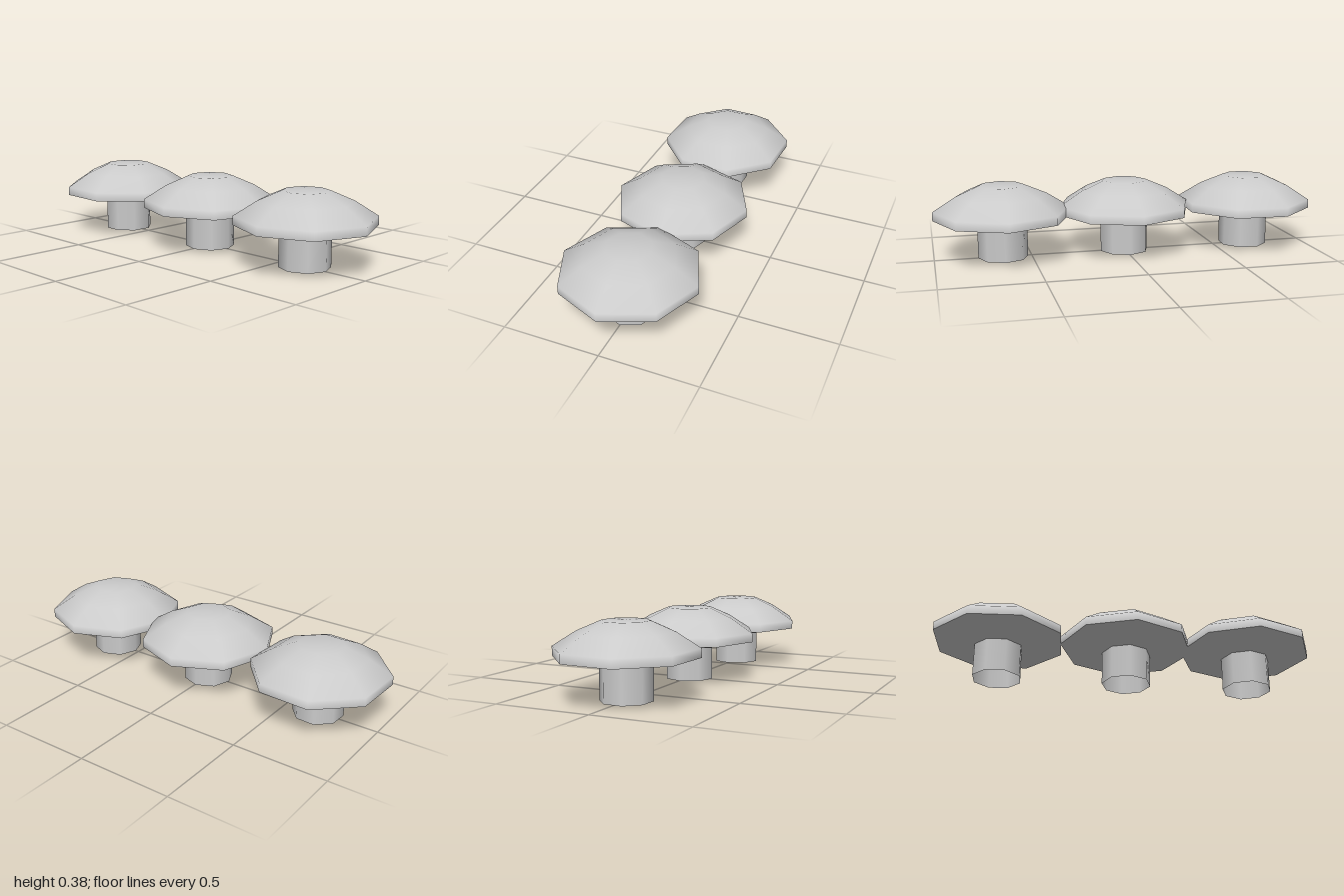
import * as THREE from 'three';

const SIDES = 8;
const material = new THREE.MeshStandardMaterial({ color: 0xcccccc, side: THREE.DoubleSide });

// Eight-sided turned surface from [radius, height] pairs
function turned(name, profile) {
  const points = profile.map(([r, y]) => new THREE.Vector2(r, y));
  const mesh = new THREE.Mesh(new THREE.LatheGeometry(points, SIDES), material);
  mesh.name = name;
  return mesh;
}

function createMushroom() {
  const mushroom = new THREE.Group();
  mushroom.add(
    // Hollow stem, open at the foot
    turned('stem', [[0.129, 0], [0.129, 0.174]]),
    // Shallow cone below the cap, with a hard edge at the rim
    turned('capUnderside', [[0, 0.174], [0.129, 0.174], [0.352, 0.208]]),
    // Rim band and rounded dome with a flat crown
    turned('cap', [[0.352, 0.208], [0.352, 0.253], [0.235, 0.327], [0.117, 0.378], [0, 0.378]])
  );
  return mushroom;
}

export function createModel() {
  const model = new THREE.Group();
  model.name = 'mushroomRow';

  // Position along x and turn in degrees
  const placements = [
    ['leftMushroom', 0.648, 0],
    ['middleMushroom', 0.002, 3.2],
    ['rightMushroom', -0.672, 19.7],
  ];
  for (const [name, x, turn] of placements) {
    const mushroom = createMushroom();
    mushroom.name = name;
    mushroom.position.x = x;
    mushroom.rotation.y = THREE.MathUtils.degToRad(turn);
    model.add(mushroom);
  }
  return model;
}
